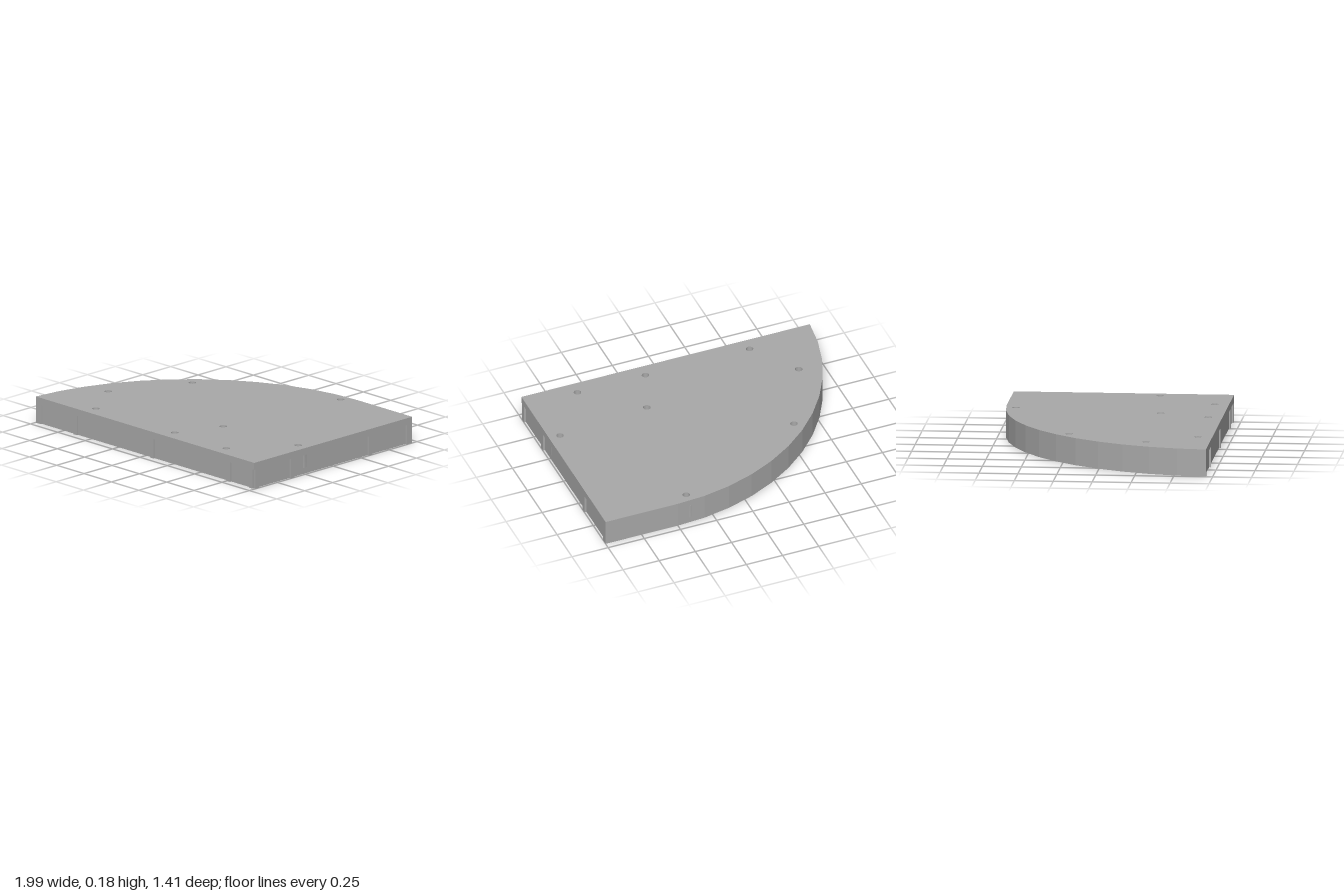
import * as THREE from 'three';
import { toCreasedNormals } from 'three/addons/utils/BufferGeometryUtils.js';

const FRONT = 0.707, RIGHT = 1;            // straight edges of the outline
const CX = 0.5, CZ = 0.79, R = 1.497;      // circle of the curved edge
const RIM = 0.047, RIB = 0.032;            // wall thicknesses
const UNDER = 0.13, TOP = 0.176;           // underside and top of the plate
const BOSS_BOTTOM = 0.04;

// screw positions [x, z]
const SCREWS = [
  [0.415, -0.64], [-0.505, -0.215], [-0.75, 0.3], [0.3, 0.3],
  [0.925, 0.24], [-0.54, 0.615], [0.18, 0.615], [0.65, 0.615],
];

// points of the curved edge from the back right corner round to the front left
function curvedEdge(radius) {
  const pts = [new THREE.Vector2(RIGHT, radius - CZ)];
  const end = Math.acos((CZ - FRONT) / radius);
  for (let i = 0; i <= 12; i++) {
    const a = (end * i) / 12;
    pts.push(new THREE.Vector2(CX - radius * Math.sin(a), radius * Math.cos(a) - CZ));
  }
  return pts;
}

// extrude a plan shape (x, -z) upward between two heights
function slab(shape, y0, y1) {
  const geo = new THREE.ExtrudeGeometry(shape, { depth: y1 - y0, bevelEnabled: false, curveSegments: 14 });
  geo.rotateX(-Math.PI / 2);
  geo.translate(0, y0, 0);
  return geo;
}

function hole(x, z, r) {
  return new THREE.Path().absarc(x, -z, r, 0, Math.PI * 2, true);
}

export function createModel() {
  const group = new THREE.Group();
  const grey = new THREE.MeshStandardMaterial({ color: 0xa8a8a8 });
  grey.name = 'grey';

  const add = (name, geo) => {
    const mesh = new THREE.Mesh(geo, grey);
    mesh.name = name;
    group.add(mesh);
    return mesh;
  };

  // top plate with screw holes
  const plate = new THREE.Shape([...curvedEdge(R), new THREE.Vector2(RIGHT, -FRONT)]);
  for (const [x, z] of SCREWS) plate.holes.push(hole(x, z, 0.024));
  add('topPlate', slab(plate, UNDER, TOP));

  // rim below the curved edge
  const rim = new THREE.Shape([...curvedEdge(R), ...curvedEdge(R - RIM).reverse()]);
  add('curvedRim', slab(rim, 0, UNDER));

  // ribs reach from the middle of the rim to the straight edges
  const mid = R - RIM / 2;
  const rib = (name, x0, x1, z0, z1) => {
    const geo = new THREE.BoxGeometry(x1 - x0, UNDER, z1 - z0);
    geo.translate((x0 + x1) / 2, UNDER / 2, (z0 + z1) / 2);
    add(name, geo);
  };
  for (const z of [0.68, 0.362, -0.335]) {
    const x0 = CX - Math.sqrt(mid ** 2 - (z - CZ) ** 2);
    rib('crossRib', x0, RIGHT, z - RIB / 2, z + RIB / 2);
  }
  for (const x of [-0.635, 0.065, 0.765, 0.97]) {
    const z0 = CZ - Math.sqrt(mid ** 2 - Math.min(x - CX, 0) ** 2);
    rib('lengthRib', x - RIB / 2, x + RIB / 2, z0, FRONT);
  }

  // hollow screw bosses under the plate
  const ring = new THREE.Shape().absarc(0, 0, 0.063, 0, Math.PI * 2, false);
  ring.holes.push(hole(0, 0, 0.016));
  const bossGeo = toCreasedNormals(slab(ring, BOSS_BOTTOM, UNDER), Math.PI / 5);
  for (const [x, z] of SCREWS) add('screwBoss', bossGeo).position.set(x, 0, z);

  return group;
}
